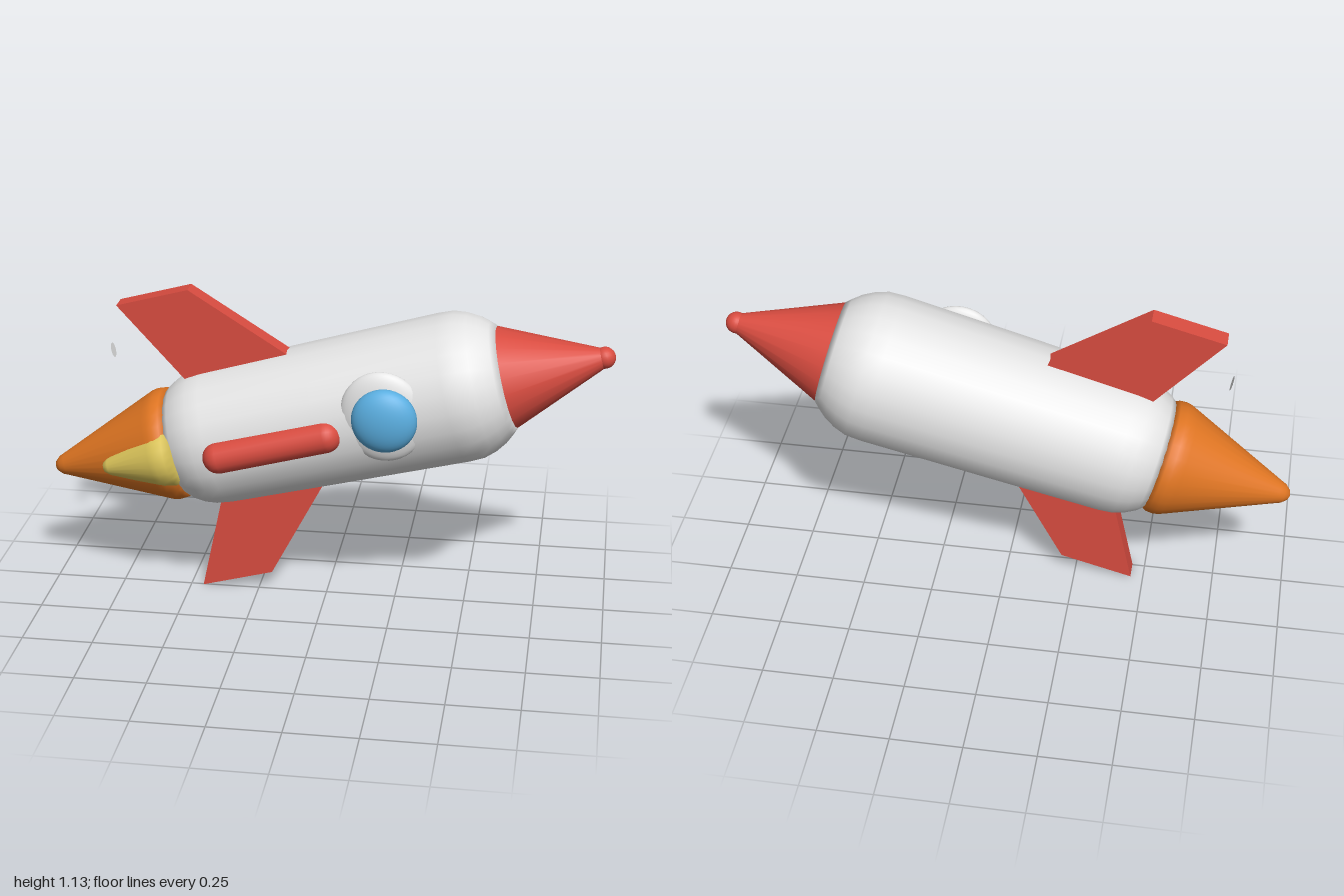
import * as THREE from 'three';

const mat = (name, color, side = THREE.FrontSide) => {
  const m = new THREE.MeshStandardMaterial({ color, side });
  m.name = name;
  return m;
};

export function createModel() {
  const white = mat('hullWhite', 0xe4e4e4, THREE.DoubleSide);
  const red = mat('trimRed', 0xd94c40);
  const orange = mat('flameOrange', 0xdf7522);
  const yellow = mat('flameYellow', 0xdfc85c);
  const blue = mat('glassBlue', 0x5aaee0);

  // The rocket is built along +x, then tilted nose up
  const rocket = new THREE.Group();
  rocket.name = 'rocket';
  rocket.rotation.z = Math.PI / 12;
  rocket.position.set(0, 0.698, -0.03);

  const add = (name, geometry, material, x = 0, y = 0, z = 0) => {
    const mesh = new THREE.Mesh(geometry, material);
    mesh.name = name;
    mesh.position.set(x, y, z);
    rocket.add(mesh);
    return mesh;
  };
  // Turned part: pairs of [distance along the axis, radius], tail to nose
  const turned = (profile, sides) =>
    new THREE.LatheGeometry(profile.map(([u, r]) => new THREE.Vector2(r, u)), sides).rotateZ(-Math.PI / 2);
  const ellipsoid = (rx, ry, rz) => new THREE.SphereGeometry(1, 32, 20).scale(rx, ry, rz);

  // Hull with rounded shoulders
  add('hull', turned([
    [-0.555, 0], [-0.555, 0.19], [-0.53, 0.211], [-0.49, 0.232], [-0.45, 0.244], [-0.4, 0.249],
    [0, 0.257], [0.46, 0.265], [0.515, 0.262], [0.56, 0.247], [0.6, 0.225], [0.63, 0.2], [0.65, 0.181], [0.65, 0],
  ], 24), white);

  // Nose cone with a ball tip
  add('noseCone', turned([[0.645, 0.182], [0.99, 0.033]], 20), red);
  add('noseTip', new THREE.SphereGeometry(0.038, 20, 14), red, 0.99);

  // Exhaust flame with a rounded tip
  add('flame', turned([
    [-1.035, 0], [-1.028, 0.018], [-1.01, 0.034], [-0.99, 0.042],
    [-0.63, 0.192], [-0.61, 0.2], [-0.59, 0.204], [-0.565, 0.202], [-0.54, 0.19], [-0.54, 0],
  ], 28), orange);

  // Small inner flame on the front side
  add('innerFlame', turned([
    [-0.262, 0], [-0.255, 0.018], [-0.235, 0.032],
    [-0.06, 0.103], [-0.035, 0.112], [0, 0.114], [0.03, 0.105], [0.03, 0],
  ], 24), yellow, -0.56, 0, 0.115);

  // Round window: rim and domed glass
  add('windowRim', ellipsoid(0.147, 0.162, 0.045), white, 0.237, 0.027, 0.228);
  add('windowGlass', ellipsoid(0.113, 0.113, 0.055), blue, 0.245, 0.025, 0.267);

  // Side stripe
  add('sideCapsule', new THREE.CapsuleGeometry(0.056, 0.385, 10, 20).rotateZ(Math.PI / 2), red, -0.167, 0, 0.24);

  // Swept fins above and below
  for (const [name, side] of [['upperFin', 1], ['lowerFin', -1]]) {
    const outline = [[-0.439, 0.2], [-0.03, 0.2], [-0.355, 0.552], [-0.619, 0.552]];
    const shape = new THREE.Shape(outline.map(([u, v]) => new THREE.Vector2(u, v * side)));
    const fin = new THREE.ExtrudeGeometry(shape, { depth: 0.07, bevelEnabled: false });
    add(name, fin.translate(0, 0, -0.035), red);
  }

  // Tiny loose disc behind the upper fin
  add('looseDisc', new THREE.CircleGeometry(0.026, 16).rotateY(Math.PI / 2), white, -0.689, 0.386, 0);

  const model = new THREE.Group();
  model.name = 'toyRocket';
  model.add(rocket);
  return model;
}
